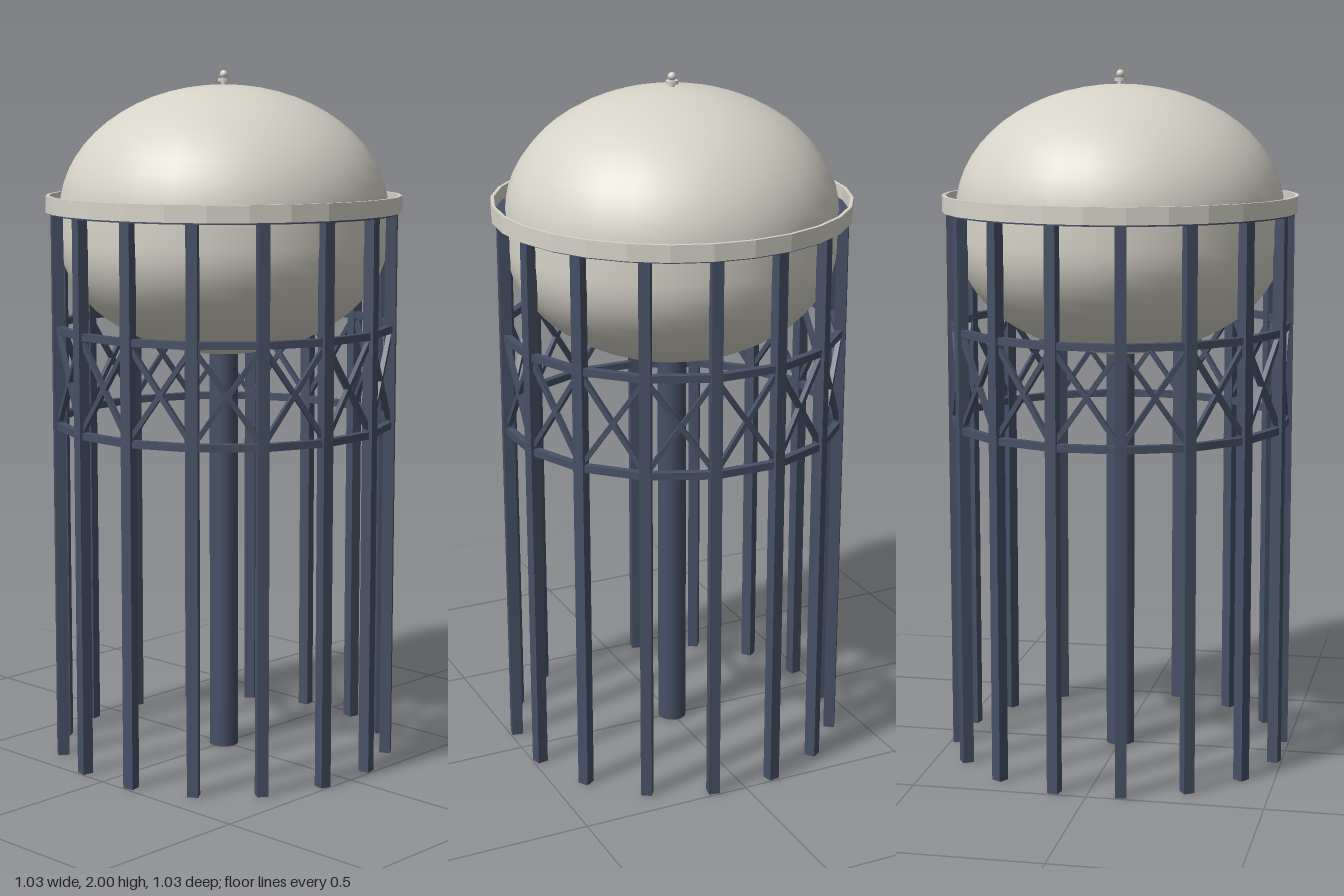
import * as THREE from 'three';

const LEGS = 16, SIDES = 28, R = 0.487;

export function createModel() {
  const model = new THREE.Group();
  model.name = 'waterTower';
  const cream = new THREE.MeshStandardMaterial({ color: 0xd6d3c8 });
  const creamFlat = new THREE.MeshStandardMaterial({ color: 0xd6d3c8, flatShading: true });
  const steel = new THREE.MeshStandardMaterial({ color: 0x465066 });
  const steelFlat = new THREE.MeshStandardMaterial({ color: 0x465066, flatShading: true });

  const add = (name, geometry, material, parent = model) => {
    const mesh = new THREE.Mesh(geometry, material);
    mesh.name = name;
    parent.add(mesh);
    return mesh;
  };
  const group = (name) => {
    const g = new THREE.Group();
    g.name = name;
    model.add(g);
    return g;
  };
  const lathe = (pts, sides) =>
    new THREE.LatheGeometry(pts.map(([x, y]) => new THREE.Vector2(x, y)), sides);

  // Closed ring of rectangular section
  const band = (r0, r1, y0, y1) =>
    lathe([[r0, y0], [r1, y0], [r1, y1], [r0, y1], [r0, y0]], SIDES);

  // Square bar between two points, with one side turned outward
  const bar = (name, a, b, size, parent) => {
    const mesh = add(name, new THREE.BoxGeometry(size, size, a.distanceTo(b)), steel, parent);
    const mid = a.clone().add(b).multiplyScalar(0.5);
    mesh.up.set(mid.x, 0, mid.z).normalize();
    mesh.position.copy(mid);
    mesh.lookAt(b);
    return mesh;
  };
  const onRing = (i, y, r = R) => {
    const a = ((i + 0.5) / LEGS) * Math.PI * 2;
    return new THREE.Vector3(Math.sin(a) * r, y, Math.cos(a) * r);
  };

  // Tank: shallow bowl, short straight wall, domed roof
  const profile = [];
  const n = 14;
  for (let i = 0; i <= n; i++) {
    const t = (i / n) * Math.PI / 2;
    profile.push([0.475 * Math.sin(t), 1.52 - 0.335 * Math.cos(t)]);
  }
  for (let i = 0; i <= n; i++) {
    const t = (i / n) * Math.PI / 2;
    profile.push([Math.max(0, 0.475 * Math.cos(t)), 1.6 + 0.36 * Math.sin(t)]);
  }
  add('tank', lathe(profile, SIDES), cream);

  // Roof vent: stem, collar and ball
  const vent = group('roofVent');
  add('ventStem', new THREE.CylinderGeometry(0.008, 0.008, 0.04, 10).translate(0, 1.968, 0), cream, vent);
  add('ventCollar', new THREE.CylinderGeometry(0.018, 0.018, 0.01, 12).translate(0, 1.972, 0), cream, vent);
  add('ventBall', new THREE.SphereGeometry(0.012, 14, 10).translate(0, 1.988, 0), cream, vent);

  // Walkway around the tank
  add('walkwayRail', band(0.505, 0.515, 1.597, 1.645), creamFlat);
  add('walkwayFloor', band(0.47, 0.506, 1.592, 1.607), steelFlat);

  // Central riser pipe
  add('riserPipe', new THREE.CylinderGeometry(0.042, 0.042, 1.22, 16).translate(0, 0.61, 0), steel);

  // Legs, ring beams and cross bracing
  const legs = group('legs'), beams = group('ringBeams'), braces = group('crossBraces');
  for (let i = 0; i < LEGS; i++) {
    bar('leg', onRing(i, 0), onRing(i, 1.597), 0.032, legs);
    for (const y of [0.985, 1.265]) bar('ringBeam', onRing(i, y), onRing(i + 1, y), 0.021, beams);
    bar('crossBrace', onRing(i, 0.99), onRing(i + 1, 1.26), 0.014, braces);
    bar('crossBrace', onRing(i, 1.26), onRing(i + 1, 0.99), 0.014, braces);
  }
  return model;
}
